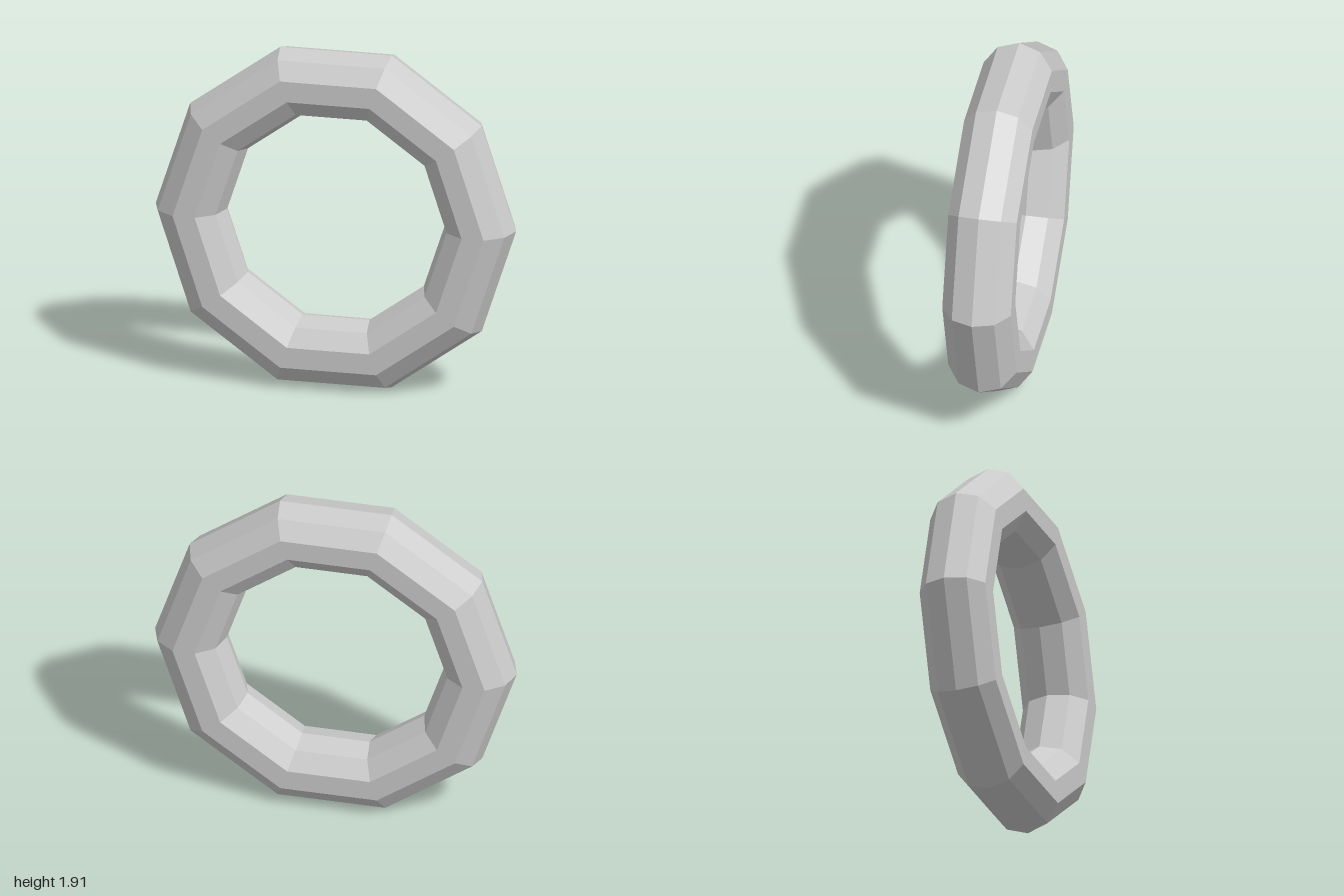
import * as THREE from 'three';

export function createModel() {
  const group = new THREE.Group();
  const ringRadius = 0.804, tubeRadius = 0.199, sides = 10;

  // Faceted ring: ten straight segments with a ten-sided cross-section
  const ring = new THREE.Mesh(
    new THREE.TorusGeometry(ringRadius, tubeRadius, sides, sides),
    new THREE.MeshStandardMaterial({ color: 0xcccccc, flatShading: true })
  );
  ring.name = 'ring';

  // Stands on a flat segment, turned slightly about the vertical
  ring.position.y = (ringRadius + tubeRadius) * Math.cos(Math.PI / sides);
  ring.rotation.y = THREE.MathUtils.degToRad(-4.3);
  group.add(ring);
  return group;
}
